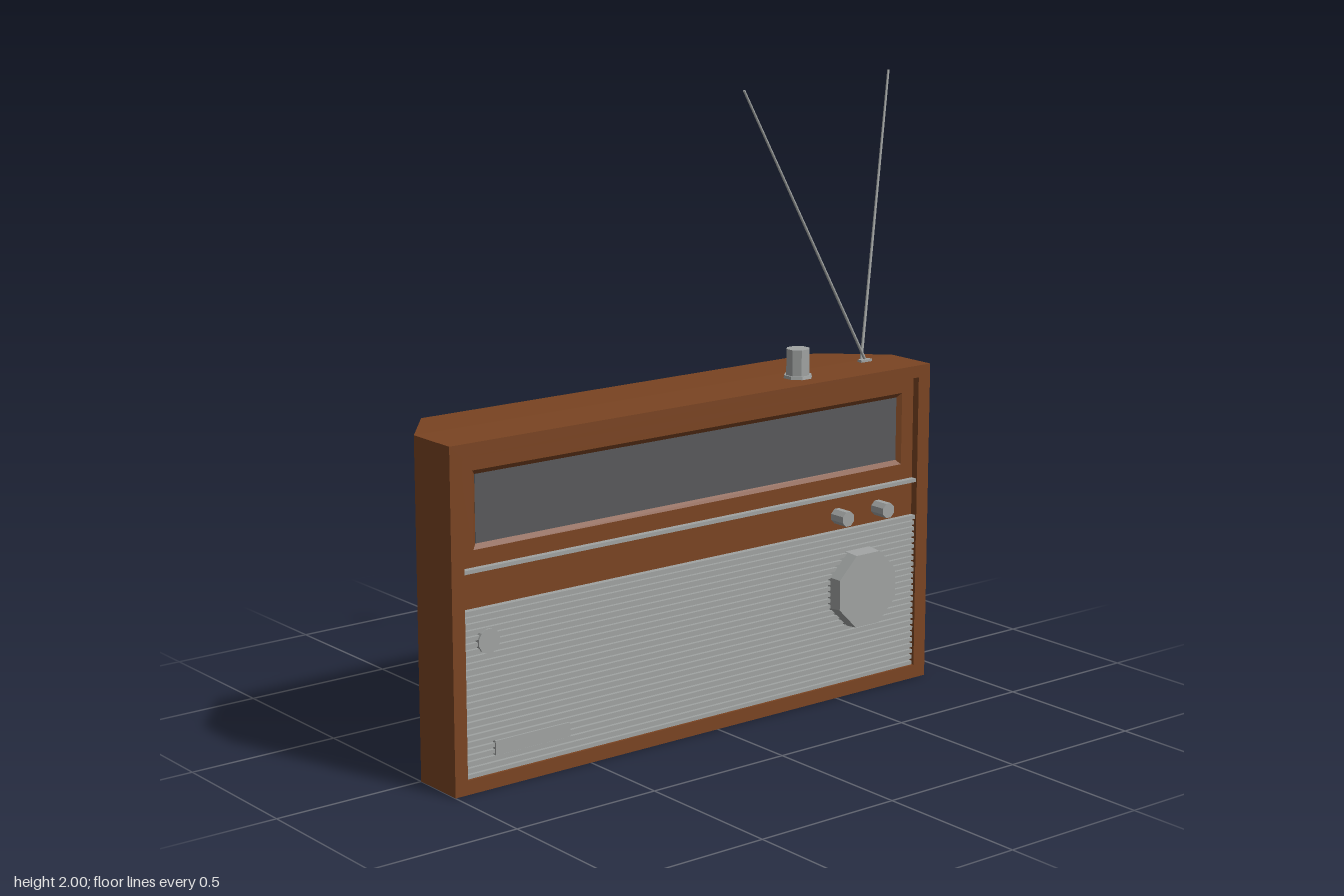
import * as THREE from 'three';

export function createModel() {
  const radio = new THREE.Group();
  radio.name = 'portableRadio';
  const material = (name, color) => {
    const m = new THREE.MeshStandardMaterial({ color });
    m.name = name;
    return m;
  };
  const wood = material('brown wood', 0x7a4422);
  const metal = material('grey metal', 0xa0a3a2);
  const glass = material('dark glass', 0x58585b);

  const add = (name, geometry, mat) => {
    const mesh = new THREE.Mesh(geometry, mat);
    mesh.name = name;
    radio.add(mesh);
    return mesh;
  };
  // Box given by its limits on each axis
  const box = (name, mat, x0, x1, y0, y1, z0, z1) => {
    const g = new THREE.BoxGeometry(x1 - x0, y1 - y0, z1 - z0);
    g.translate((x0 + x1) / 2, (y0 + y1) / 2, (z0 + z1) / 2);
    return add(name, g, mat);
  };
  // Faceted round part pointing out of the face (+x)
  const dial = (name, x0, x1, y, z, rBase, rTip, sides) => {
    const g = new THREE.CylinderGeometry(rTip, rBase, x1 - x0, sides).toNonIndexed();
    g.rotateY(Math.PI / sides);
    g.rotateZ(-Math.PI / 2);
    g.translate((x0 + x1) / 2, y, z);
    g.computeVertexNormals();
    return add(name, g, metal);
  };

  // Case: rectangular rings from the tapered back to the sunken dial window
  const rings = [ // x, y0, y1, z0, z1
    [-0.205, 0.095, 1.062, -0.735, 0.84],
    [0, 0, 1.07, -0.895, 1],
    [0.185, 0, 1.07, -0.895, 1],
    [0.185, 0.045, 1.03, -0.845, 0.955],
    [0.16, 0.045, 1.03, -0.845, 0.955],
    [0.16, 0.74, 0.98, -0.795, 0.905],
    [0.148, 0.755, 0.965, -0.78, 0.89],
  ].map(([x, y0, y1, z0, z1]) => [[x, y0, z1], [x, y0, z0], [x, y1, z0], [x, y1, z1]]);
  const points = [];
  const quad = (a, b, c, d) => points.push(...a, ...b, ...c, ...a, ...c, ...d);
  for (let r = 0; r < rings.length - 1; r++) {
    for (let i = 0; i < 4; i++) {
      const j = (i + 1) % 4;
      quad(rings[r][i], rings[r][j], rings[r + 1][j], rings[r + 1][i]);
    }
  }
  const back = rings[0];
  quad(back[0], back[3], back[2], back[1]);
  const caseGeometry = new THREE.BufferGeometry();
  caseGeometry.setAttribute('position', new THREE.Float32BufferAttribute(points, 3));
  caseGeometry.computeVertexNormals();
  add('case', caseGeometry, wood);

  // Tuning window and trim rails
  box('tuningWindow', glass, 0.14, 0.149, 0.755, 0.965, -0.78, 0.89);
  box('upperTrim', metal, 0.155, 0.18, 0.676, 0.688, -0.845, 0.955);
  box('grilleTopTrim', metal, 0.155, 0.18, 0.55, 0.563, -0.845, 0.955);

  // Speaker grille: backing with horizontal slats
  box('grilleBacking', metal, 0.155, 0.165, 0.045, 0.555, -0.845, 0.955);
  const slats = 25;
  const pitch = 0.505 / slats;
  for (let i = 0; i < slats; i++) {
    const y = 0.045 + i * pitch;
    box('grilleSlat', metal, 0.163, 0.176, y, y + pitch * 0.62, -0.845, 0.955);
  }
  dial('grilleButton', 0.16, 0.182, 0.46, 0.868, 0.039, 0.039, 12);
  box('grillePlate', metal, 0.16, 0.18, 0.1, 0.145, 0.575, 0.85);

  // Front controls
  dial('tuningKnob', 0.16, 0.218, 0.36, -0.603, 0.136, 0.131, 8);
  for (const z of [-0.515, -0.69]) dial('smallKnob', 0.155, 0.218, 0.611, z, 0.026, 0.026, 8);

  // Battery cover on the back
  box('batteryCover', metal, -0.221, -0.2, 0.138, 0.51, -0.69, 0.8);

  // Top knob with a wider foot
  const topPart = (name, rBottom, rTop, y0, y1) => {
    const g = new THREE.CylinderGeometry(rTop, rBottom, y1 - y0, 8).toNonIndexed();
    g.rotateY(Math.PI / 8);
    g.translate(0.08, (y0 + y1) / 2, -0.412);
    g.computeVertexNormals();
    add(name, g, metal);
  };
  topPart('topKnobFoot', 0.05, 0.046, 1.06, 1.08);
  topPart('topKnob', 0.039, 0.039, 1.075, 1.165);

  // Twin aerials rising from a small socket
  box('aerialSocket', metal, 0.018, 0.038, 1.06, 1.078, -0.77, -0.725);
  const aerial = (name, from, to) => {
    const a = new THREE.Vector3(...from);
    const b = new THREE.Vector3(...to);
    const rod = add(name, new THREE.CylinderGeometry(0.004, 0.005, a.distanceTo(b), 8), metal);
    rod.position.copy(a).lerp(b, 0.5);
    rod.quaternion.setFromUnitVectors(new THREE.Vector3(0, 1, 0), b.sub(a).normalize());
  };
  aerial('rearAerial', [0.015, 1.06, -0.742], [-0.15, 1.999, -0.996]);
  aerial('frontAerial', [0.026, 1.06, -0.76], [0.035, 1.998, -0.22]);

  return radio;
}
